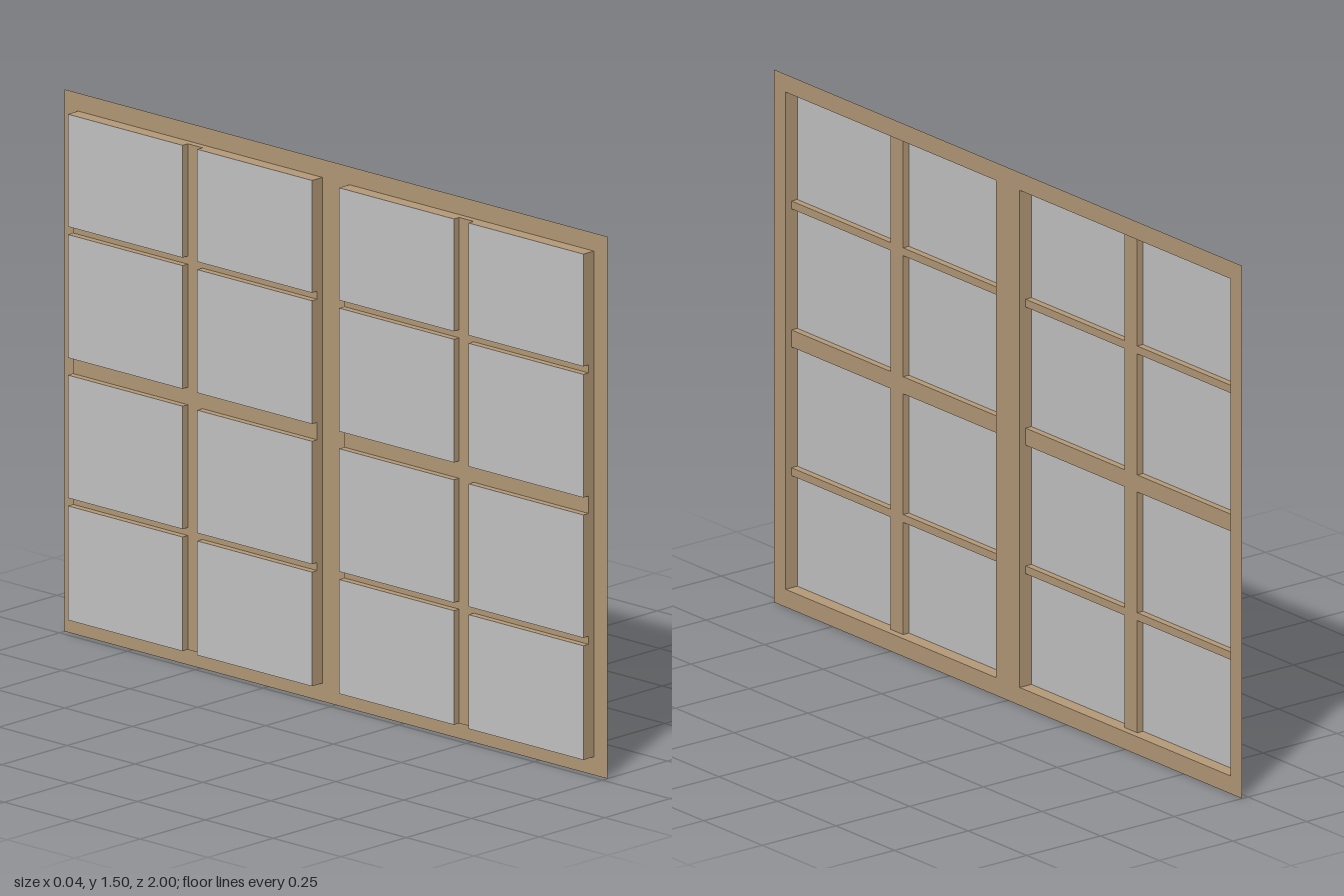
import * as THREE from 'three';

const wood = new THREE.MeshStandardMaterial({ color: 0xb59a78, side: THREE.DoubleSide });
wood.name = 'wood';
const glass = new THREE.MeshStandardMaterial({ color: 0xc4c4c4, side: THREE.DoubleSide });
glass.name = 'glass';

// Depths: frame face, glazing bars, glass
const FACE = 0.02, BARS = 0, BACK = -0.02;

function add(parent, name, geometry, material) {
  const mesh = new THREE.Mesh(geometry, material);
  mesh.name = name;
  parent.add(mesh);
}

// Rectangles are [left, bottom, right, top] in the plane of the window
function outline(Type, [l, b, r, t]) {
  const p = new Type();
  p.moveTo(l, b);
  p.lineTo(r, b);
  p.lineTo(r, t);
  p.lineTo(l, t);
  p.closePath();
  return p;
}

// Flat sheet facing +x, with rectangular openings
function sheet(rect, openings, x) {
  const shape = outline(THREE.Shape, rect);
  shape.holes = openings.map((o) => outline(THREE.Path, o));
  return new THREE.ShapeGeometry(shape).rotateY(Math.PI / 2).translate(x, 0, 0);
}

// Four thin reveal walls round an opening, between two depths
function addReveal(parent, name, [l, b, r, t], front, back) {
  const d = front - back, x = (front + back) / 2, mid = (l + r) / 2;
  for (const y of [b, t]) {
    add(parent, name, new THREE.PlaneGeometry(d, r - l).rotateX(-Math.PI / 2).translate(x, y, -mid), wood);
  }
  for (const z of [l, r]) {
    add(parent, name, new THREE.PlaneGeometry(d, t - b).translate(x, (b + t) / 2, -z), wood);
  }
}

export function createModel() {
  const model = new THREE.Group();
  model.name = 'window';

  const columns = [[0.05, 0.473], [0.527, 0.95]];
  const rows = [[0.05, 0.366], [0.388, 0.728], [0.776, 1.117], [1.139, 1.45]];
  const openings = [[-0.95, 0.05, -0.05, 1.45], [0.05, 0.05, 0.95, 1.45]];

  // Outer frame with two large openings
  add(model, 'frame', sheet([-1, 0, 1, 1.5], openings, FACE), wood);

  openings.forEach((opening, i) => {
    const sash = new THREE.Group();
    sash.name = i ? 'rearSash' : 'frontSash';
    model.add(sash);
    addReveal(sash, 'openingReveal', opening, FACE, BARS);

    // Eight panes in each opening, mirrored about the centre post
    const panes = columns.flatMap(([a, c]) =>
      rows.map(([b, t]) => (i ? [a, b, c, t] : [-c, b, -a, t])));
    add(sash, 'glazingBars', sheet(opening, panes, BARS), wood);
    for (const pane of panes) {
      addReveal(sash, 'paneReveal', pane, BARS, BACK);
      add(sash, 'pane', sheet(pane, [], BACK), glass);
    }
  });
  return model;
}
